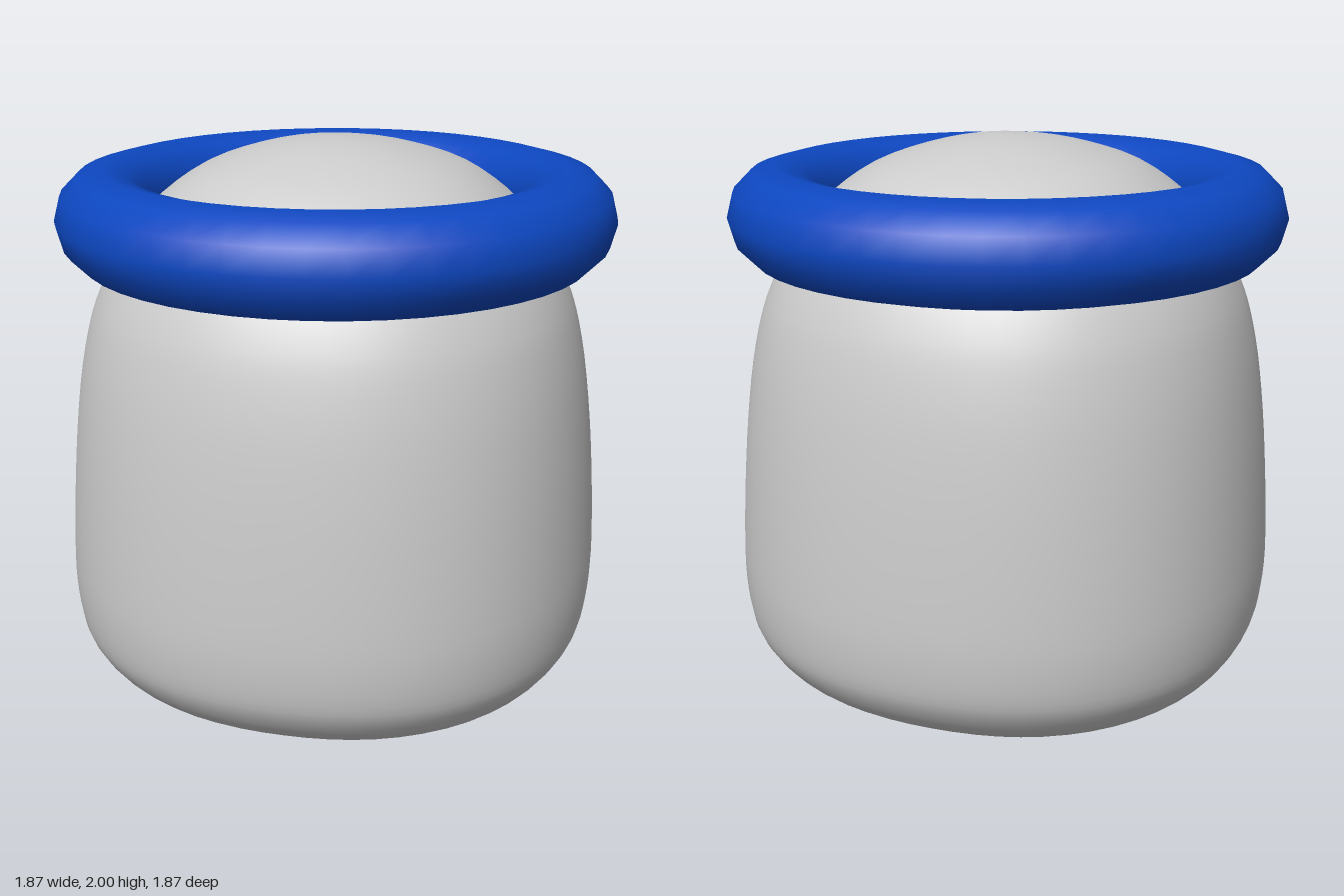
import * as THREE from 'three';
import { mergeVertices } from 'three/addons/utils/BufferGeometryUtils.js';

// Body outline: half-width and height, from base to crown
const PROFILE = [
  [0, 0], [0.2, 0.01], [0.36, 0.035], [0.5, 0.065], [0.63, 0.108], [0.73, 0.155],
  [0.81, 0.212], [0.87, 0.29], [0.9, 0.37], [0.914, 0.5], [0.912, 0.65], [0.9, 0.85],
  [0.882, 1.05], [0.855, 1.25], [0.82, 1.41], [0.785, 1.51], [0.74, 1.6], [0.67, 1.71],
  [0.58, 1.81], [0.45, 1.9], [0.3, 1.955], [0.15, 1.988], [0, 2],
];
const SQUARENESS = 2.22; // 2 would be a round cross-section

function bodyGeometry() {
  const curve = new THREE.SplineCurve(PROFILE.map(([r, y]) => new THREE.Vector2(r, y)));
  const points = curve.getPoints(66);
  points.forEach((p) => { p.x = Math.max(p.x, 0); });
  const lathe = new THREE.LatheGeometry(points, 64);

  // Push the round cross-section out towards the four corners
  const pos = lathe.attributes.position;
  for (let i = 0; i < pos.count; i++) {
    const x = pos.getX(i), z = pos.getZ(i);
    const r = Math.hypot(x, z);
    if (r < 1e-6) continue;
    const k = (Math.abs(x / r) ** SQUARENESS + Math.abs(z / r) ** SQUARENESS) ** (-1 / SQUARENESS);
    pos.setXYZ(i, x * k, pos.getY(i), z * k);
  }

  // Weld the seam and poles so the shading is smooth all round
  lathe.deleteAttribute('uv');
  lathe.deleteAttribute('normal');
  const geometry = mergeVertices(lathe, 1e-5);
  geometry.computeVertexNormals();
  return geometry;
}

export function createModel() {
  const group = new THREE.Group();

  // Soft rounded body with domed top
  const body = new THREE.Mesh(bodyGeometry(), new THREE.MeshStandardMaterial({ color: 0xcccccc }));
  body.name = 'body';
  group.add(body);

  // Blue ring around the shoulder
  const ring = new THREE.Mesh(
    new THREE.TorusGeometry(0.773, 0.164, 12, 48),
    new THREE.MeshStandardMaterial({ color: 0x0d47c1 }),
  );
  ring.name = 'collarRing';
  ring.rotation.x = Math.PI / 2;
  ring.position.y = 1.746;
  group.add(ring);

  return group;
}
